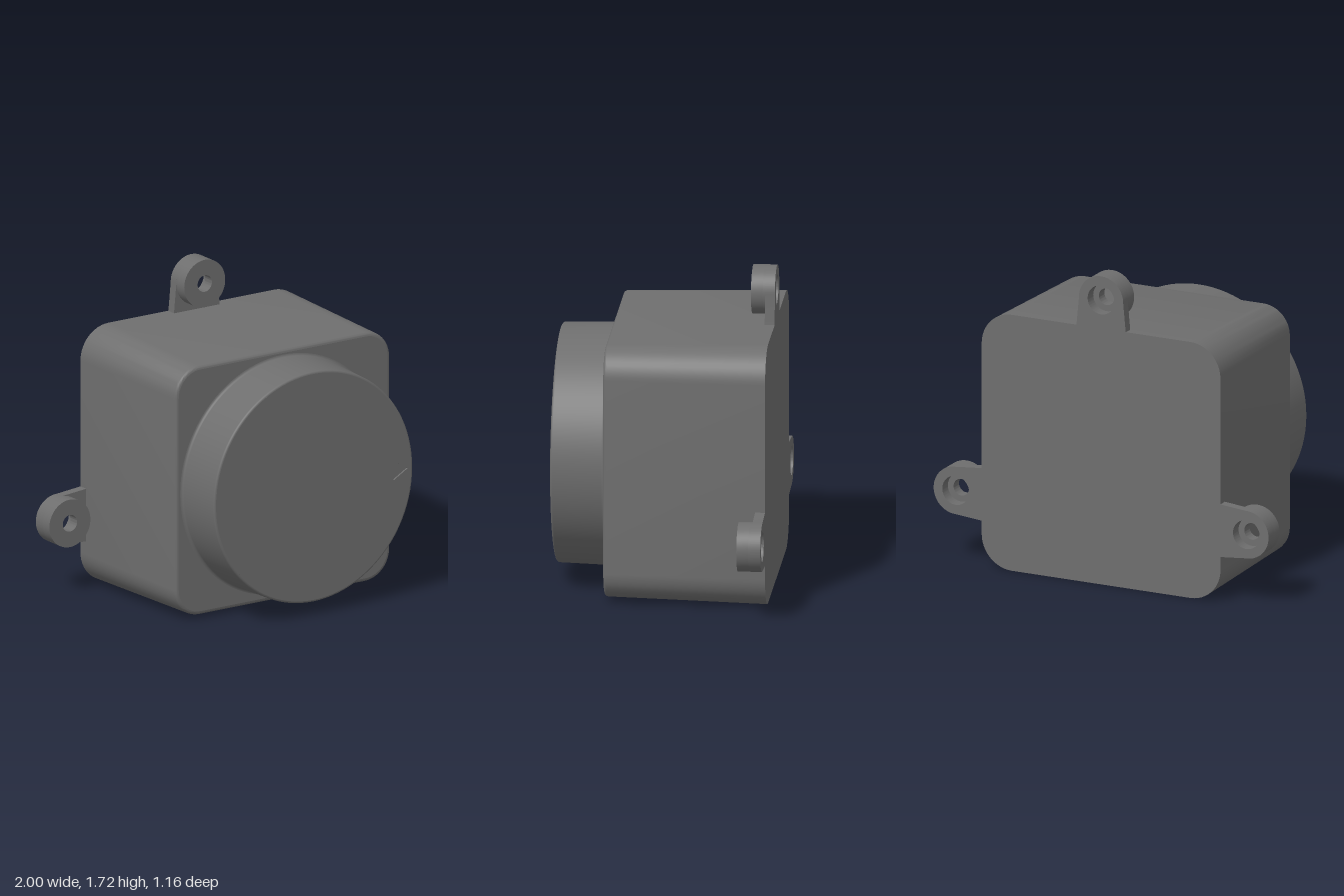
import * as THREE from 'three';
import { toCreasedNormals } from 'three/addons/utils/BufferGeometryUtils.js';

const CY = 0.713;        // height of the housing axis
const CORE = 0.533;      // centre offset of the rounded corners
const BACK = -0.578, FRONT = 0.29, FACE = 0.578;
const material = new THREE.MeshStandardMaterial({ color: 0x6e6e6e });

function add(parent, name, geometry, x = 0, y = 0, z = 0) {
  const mesh = new THREE.Mesh(geometry, material);
  mesh.name = name;
  mesh.position.set(x, y, z);
  parent.add(mesh);
  return mesh;
}

// Counter-clockwise rounded square; the bottom edge closes the loop
function ring(half, steps = 12) {
  const points = [], r = half - CORE;
  for (let c = 0; c < 4; c++) {
    const start = -Math.PI / 2 + c * Math.PI / 2;
    const cx = c < 2 ? CORE : -CORE, cy = c === 1 || c === 2 ? CORE : -CORE;
    for (let i = 0; i <= steps; i++) {
      const a = start + (i / steps) * Math.PI / 2;
      points.push(new THREE.Vector2(cx + r * Math.cos(a), cy + r * Math.sin(a)));
    }
  }
  return points;
}

// Drafted walls with a rounded front edge; the rear band leaves the underside open
function housingWalls() {
  const sections = [[BACK, 0.713]];
  for (let i = 0; i <= 5; i++) {
    const a = (i / 5) * Math.PI / 2;
    sections.push([FRONT - 0.02 + 0.02 * Math.sin(a), 0.672 + 0.02 * Math.cos(a)]);
  }
  const positions = [];
  for (let s = 0; s < sections.length - 1; s++) {
    const [z0, h0] = sections[s], [z1, h1] = sections[s + 1];
    const a = ring(h0), b = ring(h1), n = a.length;
    for (let i = 0; i < (s === 0 ? n - 1 : n); i++) {
      const j = (i + 1) % n;
      const p = [a[i].x, a[i].y, z0], q = [a[j].x, a[j].y, z0];
      const r = [b[j].x, b[j].y, z1], t = [b[i].x, b[i].y, z1];
      positions.push(...p, ...q, ...r, ...p, ...r, ...t);
    }
  }
  const geometry = new THREE.BufferGeometry();
  geometry.setAttribute('position', new THREE.Float32BufferAttribute(positions, 3));
  return toCreasedNormals(geometry, 0.6);
}

function extrude(shape, depth) {
  return toCreasedNormals(
    new THREE.ExtrudeGeometry(shape, { depth, bevelEnabled: false, curveSegments: 40 }), 0.6);
}

function circle(radius) {
  return new THREE.Path().absarc(0, 0, radius, 0, Math.PI * 2, true);
}

function disc(radius, hole) {
  const shape = new THREE.Shape().absarc(0, 0, radius, 0, Math.PI * 2, false);
  shape.holes.push(hole);
  return shape;
}

// Underside panel with the rectangular socket, sheared to follow the draft
function underside() {
  const length = FRONT - 0.02 - BACK, depth = 0.12;
  const panel = new THREE.Shape([[-CORE, 0], [CORE, 0], [CORE, length], [-CORE, length]]
    .map(p => new THREE.Vector2(...p)));
  panel.holes.push(new THREE.Path([[-0.185, 0.14], [-0.185, 0.27], [0.185, 0.27], [0.185, 0.14]]
    .map(p => new THREE.Vector2(...p))));
  const geometry = new THREE.ExtrudeGeometry(panel, { depth, bevelEnabled: false });
  geometry.translate(0, 0, -depth).rotateX(Math.PI / 2);
  const position = geometry.attributes.position;
  for (let i = 0; i < position.count; i++)
    position.setY(i, position.getY(i) + position.getZ(i) * 0.021 / length);
  geometry.computeVertexNormals();
  return geometry;
}

function createHousing() {
  const housing = new THREE.Group();
  housing.name = 'housing';
  housing.position.y = CY;
  add(housing, 'housingWalls', housingWalls());
  add(housing, 'housingFront', new THREE.ShapeGeometry(new THREE.Shape(ring(0.672))), 0, 0, FRONT);
  add(housing, 'housingBack', new THREE.ShapeGeometry(new THREE.Shape(ring(0.713))), 0, 0, BACK)
    .rotation.y = Math.PI;
  add(housing, 'underside', underside(), 0, -0.713, BACK);
  add(housing, 'socketFloor', new THREE.BoxGeometry(0.42, 0.02, 0.18), 0, -0.588, BACK + 0.205);
  return housing;
}

function createCap() {
  const cap = new THREE.Group();
  cap.name = 'roundCap';
  cap.position.y = CY;

  // Turned side wall with a fillet at the base and a softened front edge
  const profile = [];
  for (let i = 0; i <= 4; i++) {
    const a = (i / 4) * Math.PI / 2;
    profile.push(new THREE.Vector2(0.663 - 0.015 * Math.sin(a), FRONT + 0.015 * (1 - Math.cos(a))));
  }
  for (let i = 0; i <= 4; i++) {
    const a = (i / 4) * Math.PI / 2;
    profile.push(new THREE.Vector2(0.628 + 0.012 * Math.cos(a), FACE - 0.012 + 0.012 * Math.sin(a)));
  }
  const side = new THREE.LatheGeometry(profile, 96);
  side.rotateX(Math.PI / 2);
  add(cap, 'capSide', side);

  // Front disc with a shallow triangular pointer
  const pointer = new THREE.Path([[0.515, 0.052], [0.605, 0], [0.515, -0.052]]
    .map(p => new THREE.Vector2(...p)));
  const face = new THREE.ExtrudeGeometry(disc(0.628, pointer),
    { depth: 0.01, bevelEnabled: false, curveSegments: 96 });
  add(cap, 'capFace', face, 0, 0, FACE - 0.01);
  add(cap, 'pointerFloor', new THREE.CircleGeometry(0.62, 48), 0, 0, FACE - 0.0095);
  return cap;
}

// Mounting ear pointing up, with a counterbored screw boss
function createEar(name, x, y, angle) {
  const ear = new THREE.Group();
  ear.name = name;
  ear.position.set(x, y, BACK);
  ear.rotation.z = angle;
  const bore = 0.08, radius = 0.132, step = 0.065;

  const plate = new THREE.Shape();
  plate.moveTo(-0.148, -0.17);
  plate.lineTo(0.148, -0.17);
  plate.lineTo(radius, 0);
  plate.absarc(0, 0, radius, 0, Math.PI, false);
  plate.closePath();
  plate.holes.push(circle(bore));
  add(ear, 'earPlate', extrude(plate, 0.053));
  add(ear, 'counterboreRing', extrude(disc(radius, circle(bore)), step));
  add(ear, 'screwSeat', extrude(disc(radius, circle(0.046)), 0.128 - step), 0, 0, step);
  return ear;
}

export function createModel() {
  const model = new THREE.Group();
  model.name = 'roundFacedHousing';
  model.add(createHousing(), createCap());
  model.add(createEar('topEar', 0, 1.584, 0));
  for (const [name, side] of [['leftEar', 1], ['rightEar', -1]])
    model.add(createEar(name, side * 0.868, 0.4, -side * Math.PI / 2));
  return model;
}
